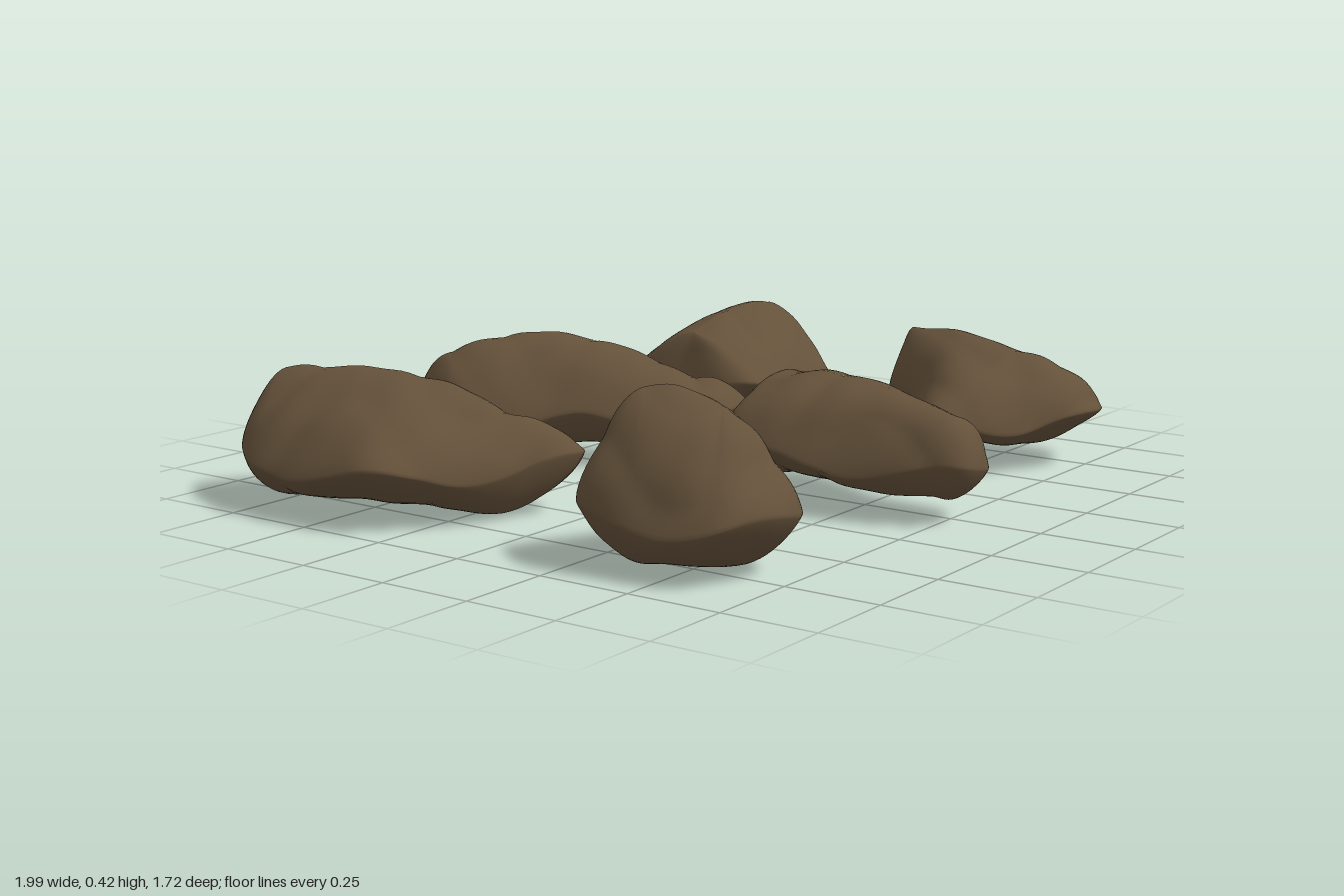
import * as THREE from 'three';

const SEGMENTS = 96;
const RINGS = 18;
const RIM = 0.14; // height of a rock's widest ring

// Irregular bumps with soft creases, as on broken stone
function roughness(x, y, z) {
  const broad = Math.sin(11 * x + 7 * y - 5 * z + 1) * Math.sin(9 * z - 8 * y + 4 * x);
  const crease = Math.abs(Math.sin(8 * x - 5 * z + 10 * y + 2 * Math.sin(9 * z + 4 * x)));
  const fine = Math.sin(31 * x + 17 * z) * Math.sin(27 * y - 23 * z + 2);
  return 0.008 * broad + 0.01 * (crease - 0.6) + 0.003 * fine;
}

// outline: plan corners [x, z]; ridge: its two ends [x, y, z]; crown: height halfway along the ridge;
// keel: height of the underside; bulge: how much the flanks swell (1 is nearly straight)
function rockGeometry(outline, ridge, crown, keel, bulge) {
  const curve = new THREE.CatmullRomCurve3(outline.map(([x, z]) => new THREE.Vector3(x, 0, z)), true, 'centripetal');
  const edge = curve.getSpacedPoints(SEGMENTS).slice(0, SEGMENTS);
  const [start, end] = ridge.map(([x, , z]) => new THREE.Vector3(x, 0, z));
  const spine = new THREE.Line3(start, end);
  const arch = crown - (ridge[0][1] + ridge[1][1]) / 2;
  const positions = [];
  const index = [];
  const foot = new THREE.Vector3();

  // Rings climb from the keel, out to the rounded rim, then in to the ridge
  for (let i = -RINGS; i <= RINGS; i++) {
    const u = Math.pow(Math.abs(i) / RINGS, 1.6);
    const rise = Math.pow(1 - Math.pow(1 - u, i < 0 ? 1.8 : bulge), 0.8);
    for (const p of edge) {
      const t = spine.closestPointToPointParameter(p, true);
      spine.at(t, foot);
      const ridgeY = THREE.MathUtils.lerp(ridge[0][1], ridge[1][1], t) + arch * 4 * t * (1 - t);
      const rimY = RIM + 0.025 * Math.sin(8 * p.x + 11 * p.z);
      const x = THREE.MathUtils.lerp(p.x, foot.x, u);
      const z = THREE.MathUtils.lerp(p.z, foot.z, u);
      const y = THREE.MathUtils.lerp(rimY, i < 0 ? keel : ridgeY, rise);
      const bump = roughness(x, y, z);
      const out = new THREE.Vector3().subVectors(p, foot).normalize().multiplyScalar(bump * (1 - u));
      positions.push(x + out.x, Math.max(0, y + Math.sign(i) * bump * u), z + out.z);
    }
  }
  for (let i = 0; i < 2 * RINGS; i++) {
    for (let j = 0; j < SEGMENTS; j++) {
      const a = i * SEGMENTS + j;
      const b = i * SEGMENTS + ((j + 1) % SEGMENTS);
      index.push(a, a + SEGMENTS, b, b, a + SEGMENTS, b + SEGMENTS);
    }
  }
  const geometry = new THREE.BufferGeometry();
  geometry.setAttribute('position', new THREE.Float32BufferAttribute(positions, 3));
  geometry.setIndex(index);
  geometry.computeVertexNormals();
  return geometry;
}

export function createModel() {
  const group = new THREE.Group();
  group.name = 'rocks';
  const stone = new THREE.MeshStandardMaterial({ color: 0x64513a });
  stone.name = 'brown stone';

  function addRock(name, ...shape) {
    const mesh = new THREE.Mesh(rockGeometry(...shape), stone);
    mesh.name = name;
    group.add(mesh);
  }

  // Long, tall boulder
  addRock('backRightRock',
    [[-0.92, -0.8], [-0.68, -0.87], [-0.57, -0.68], [-0.5, -0.35], [-0.46, -0.04], [-0.68, -0.1], [-0.94, -0.27], [-0.99, -0.45]],
    [[-0.78, 0.34, -0.77], [-0.62, 0.27, -0.18]], 0.36, 0.02, 1.5);
  // Slanting, narrow boulder
  addRock('backMiddleRock',
    [[-0.2, -0.85], [0.02, -0.58], [0.2, -0.3], [0.31, -0.2], [0.3, -0.09], [0.1, -0.05], [-0.16, -0.4], [-0.33, -0.56]],
    [[-0.21, 0.31, -0.71], [0.19, 0.23, -0.17]], 0.35, 0.05, 2.1);
  // Wedge with a ridge from side to side
  addRock('backLeftRock',
    [[0.51, -0.64], [0.7, -0.7], [0.89, -0.66], [0.98, -0.4], [0.97, -0.23], [0.49, -0.2], [0.48, -0.45]],
    [[0.54, 0.29, -0.43], [0.94, 0.33, -0.43]], 0.33, 0.05, 1.5);
  // Lumpy rock with the highest peak
  addRock('frontRightRock',
    [[-0.9, 0.28], [-0.57, 0.29], [-0.42, 0.34], [-0.42, 0.47], [-0.54, 0.61], [-0.66, 0.74], [-0.87, 0.67], [-0.92, 0.52]],
    [[-0.77, 0.43, 0.38], [-0.69, 0.38, 0.54]], 0.42, 0.01, 1.4);
  // Flat-topped rock with a blunt front end
  addRock('frontMiddleRock',
    [[-0.18, 0.18], [0.02, 0.14], [0.23, 0.19], [0.12, 0.62], [0.07, 0.82], [-0.08, 0.83], [-0.16, 0.6]],
    [[0.03, 0.32, 0.24], [-0.02, 0.27, 0.75]], 0.32, 0.06, 2.4);
  // Three-cornered rock with a high back fin
  addRock('frontLeftRock',
    [[0.77, 0.12], [0.84, 0.35], [0.9, 0.6], [0.8, 0.77], [0.65, 0.77], [0.39, 0.48], [0.58, 0.3]],
    [[0.765, 0.34, 0.19], [0.69, 0.31, 0.55]], 0.34, 0.05, 1.7);
  return group;
}
